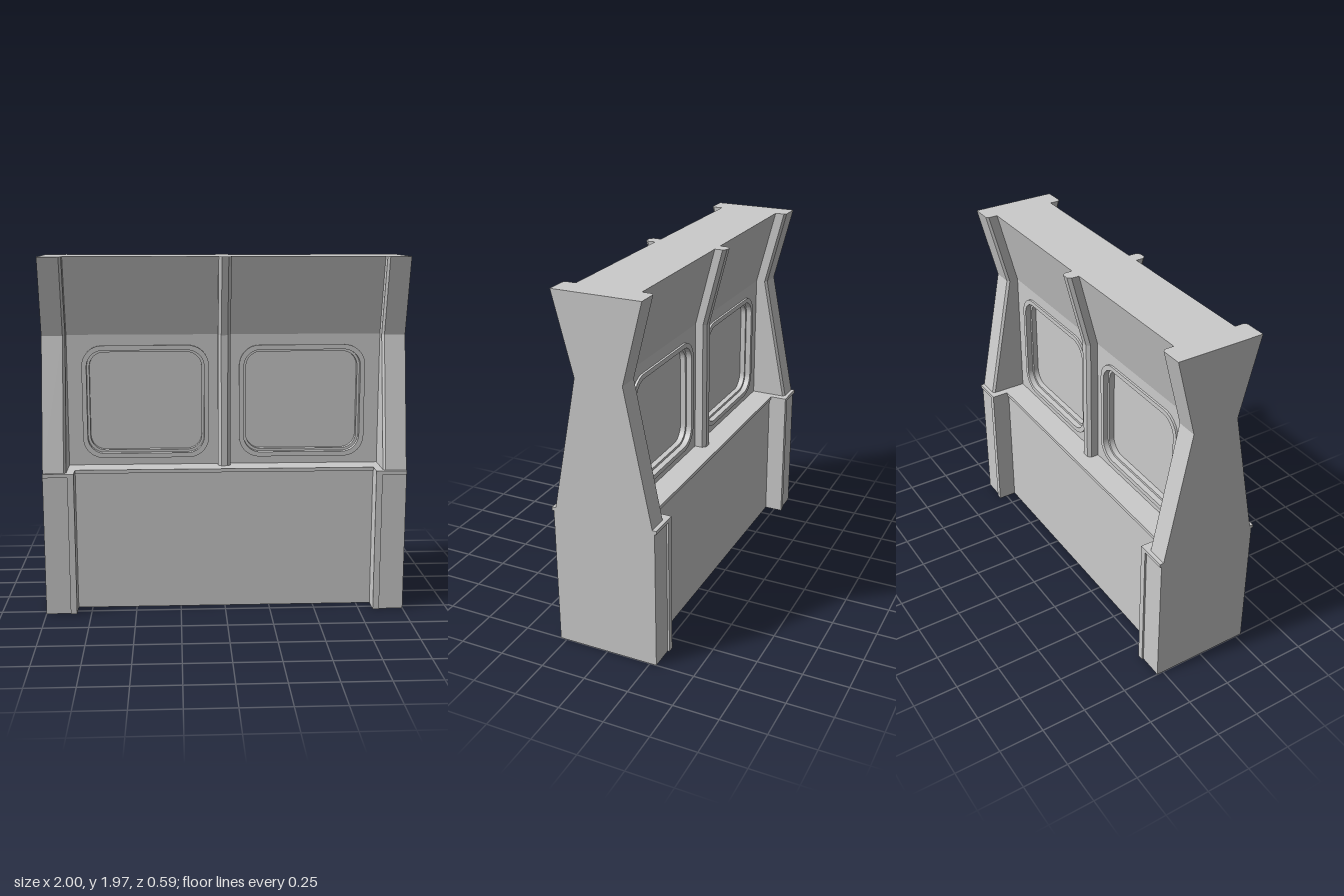
import * as THREE from 'three';

const material = new THREE.MeshStandardMaterial({ color: 0xcccccc, flatShading: true, side: THREE.DoubleSide });
const BELT_LOW = 0.78, BELT = 0.8, WAIST = 1.535, TOP = 1.965;

function part(name, geometry) {
  const mesh = new THREE.Mesh(geometry, material);
  mesh.name = name;
  return mesh;
}

// Completes a half plan (from x = -1 to the middle) by mirroring it in x
const mirrorX = half => [...half, ...half.map(([x, z]) => [-x, z]).reverse()];

// Closes a front plan with the same plan turned half round
const closedPlan = front => new THREE.Shape(
  [...front, ...front.map(([x, z]) => [-x, -z])].map(p => new THREE.Vector2(...p)));

// Wall surface between two plans of equal length; skip(i) leaves a strip open
function loft(planA, yA, planB, yB, skip = () => false) {
  const v = [];
  for (let i = 0; i < planA.length - 1; i++) {
    if (skip(i)) continue;
    const [a, b] = [planA[i], planA[i + 1]].map(p => [p[0], yA, p[1]]);
    const [d, c] = [planB[i], planB[i + 1]].map(p => [p[0], yB, p[1]]);
    v.push(...a, ...b, ...c, ...a, ...c, ...d);
  }
  const g = new THREE.BufferGeometry();
  g.setAttribute('position', new THREE.Float32BufferAttribute(v, 3));
  g.computeVertexNormals();
  return g;
}

// Rounded window outline, shrunk by an inset
function windowOutline(inset, side, Type = THREE.Shape) {
  const w = 0.353 - inset, h = 0.317 - inset, r = 0.115 - inset * 0.8;
  const cx = side * 0.438, cy = 1.158;
  const s = new Type();
  s.moveTo(cx - w + r, cy - h);
  s.lineTo(cx + w - r, cy - h);
  s.absarc(cx + w - r, cy - h + r, r, -Math.PI / 2, 0);
  s.absarc(cx + w - r, cy + h - r, r, 0, Math.PI / 2);
  s.absarc(cx - w + r, cy + h - r, r, Math.PI / 2, Math.PI);
  s.absarc(cx - w + r, cy - h + r, r, Math.PI, Math.PI * 1.5);
  return s;
}

function windowRing(outer, inner, side, z0, z1) {
  const s = windowOutline(outer, side);
  s.holes.push(windowOutline(inner, side, THREE.Path));
  const g = new THREE.ExtrudeGeometry(s, { depth: z1 - z0, bevelEnabled: false, curveSegments: 6 });
  return g.translate(0, 0, z0);
}

// Plan of the upper wall: end column, recessed panel, chamfered mullion
const upperPlan = (column, panel) => mirrorX([
  [-1, column], [-0.885, column], [-0.872, column - 0.013], [-0.872, panel],
  [-0.035, panel], [-0.035, panel + 0.044], [-0.018, panel + 0.062],
]);
const PANEL = 0.065;
const sill = upperPlan(0.275, PANEL), waist = upperPlan(0.13, PANEL), crown = upperPlan(0.24, 0.175);

// Plan of the lower wall: end post with raised lip, and recessed panel
const lowerPlan = mirrorX([[-1, 0.287], [-0.865, 0.287], [-0.865, 0.297], [-0.83, 0.297], [-0.83, 0.19]]);
const beltPlan = mirrorX([[-1, 0.297], [-0.83, 0.297], [-0.83, 0.2]]);

function createFace() {
  const face = new THREE.Group();
  face.add(part('lowerWall', loft(lowerPlan, 0, lowerPlan, BELT_LOW)));
  // Strips 3 and 9 are the flat panels that hold the windows
  face.add(part('upperWall', loft(sill, BELT, waist, WAIST, i => i === 3 || i === 9)));
  face.add(part('flaredWall', loft(waist, WAIST, crown, TOP)));

  for (const side of [-1, 1]) {
    const x0 = side * 0.4535 - 0.4185, x1 = side * 0.4535 + 0.4185;
    const panel = new THREE.Shape([[x0, BELT], [x1, BELT], [x1, WAIST], [x0, WAIST]]
      .map(p => new THREE.Vector2(...p)));
    panel.holes.push(windowOutline(0.012, side, THREE.Path));
    face.add(part('windowPanel', new THREE.ShapeGeometry(panel, 6).translate(0, 0, PANEL)));
    face.add(part('windowFrame', windowRing(0, 0.026, side, 0.015, PANEL + 0.012)));
    face.add(part('windowSeal', windowRing(0.02, 0.04, side, 0.012, 0.045)));
    face.add(part('windowPane', new THREE.ShapeGeometry(windowOutline(0.03, side), 6).translate(0, 0, 0.015)));
  }
  return face;
}

export function createModel() {
  const model = new THREE.Group();
  model.name = 'partitionWall';

  // Identical front and back faces
  const front = createFace();
  front.name = 'frontFace';
  const back = front.clone();
  back.name = 'backFace';
  back.rotation.y = Math.PI;
  model.add(front, back);

  // Flat waisted end walls
  const profile = [[0.287, 0], [0.287, BELT], [0.275, BELT], [0.13, WAIST], [0.24, TOP]];
  const endShape = new THREE.Shape([...profile, ...profile.map(([z, y]) => [-z, y]).reverse()]
    .map(p => new THREE.Vector2(...p)));
  for (const side of [-1, 1]) {
    const end = part(side > 0 ? 'leftEnd' : 'rightEnd', new THREE.ShapeGeometry(endShape));
    end.rotation.y = side * Math.PI / 2;
    end.position.x = side;
    model.add(end);
  }

  // Belt ledge and roof
  const belt = part('beltLedge', new THREE.ExtrudeGeometry(closedPlan(beltPlan),
    { depth: BELT - BELT_LOW, bevelEnabled: false }).rotateX(-Math.PI / 2));
  belt.position.y = BELT_LOW;
  const roof = part('roof', new THREE.ShapeGeometry(closedPlan(crown)).rotateX(-Math.PI / 2));
  roof.position.y = TOP;
  model.add(belt, roof);
  return model;
}
